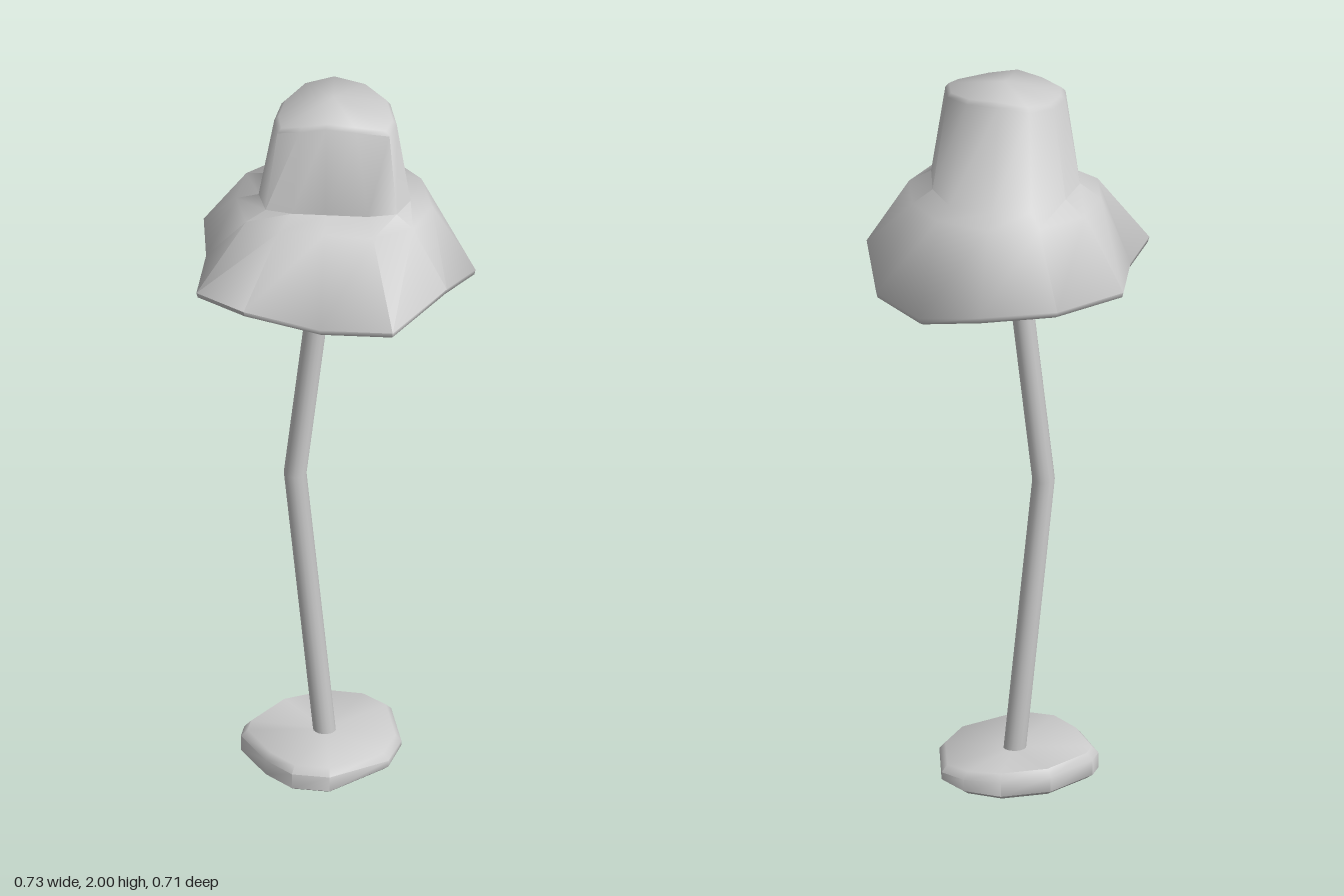
import * as THREE from 'three';
import { toCreasedNormals } from 'three/addons/utils/BufferGeometryUtils.js';

const material = new THREE.MeshStandardMaterial({ color: 0xcccccc });

// Skin a list of equal-length rings of [x, y, z]; faces point outward as rings rise.
function loft(rings, crease) {
  const pos = [];
  const tri = (a, b, c) => {
    const same = (p, q) => p.every((v, i) => Math.abs(v - q[i]) < 1e-6);
    if (!same(a, b) && !same(b, c) && !same(a, c)) pos.push(...a, ...b, ...c);
  };
  for (let k = 0; k < rings.length - 1; k++) {
    const lo = rings[k], hi = rings[k + 1], n = lo.length;
    for (let i = 0; i < n; i++) {
      const j = (i + 1) % n;
      tri(lo[j], lo[i], hi[i]);
      tri(lo[j], hi[i], hi[j]);
    }
  }
  const geometry = new THREE.BufferGeometry();
  geometry.setAttribute('position', new THREE.Float32BufferAttribute(pos, 3));
  return toCreasedNormals(geometry, crease);
}

// Shrink or grow a ring around a centre and shift it in height.
const scaled = (ring, s, dy = 0, cx = 0, cz = 0) =>
  ring.map(([x, y, z]) => [cx + (x - cx) * s, y + dy, cz + (z - cz) * s]);
const level = (outline, y) => outline.map(([x, z]) => [x, y, z]);
const point = (n, x, y, z) => Array.from({ length: n }, () => [x, y, z]);

function add(group, name, geometry) {
  const mesh = new THREE.Mesh(geometry, material);
  mesh.name = name;
  group.add(mesh);
}

// Floppy shade: hollow, wavy brim, shoulder, crown and peaked lid
function shadeGeometry() {
  const brim = [
    [-0.02, 1.475, -0.355], [0.155, 1.435, -0.305], [0.3, 1.435, -0.165], [0.365, 1.5, 0.015],
    [0.305, 1.55, 0.205], [0.175, 1.495, 0.352], [-0.02, 1.47, 0.31], [-0.22, 1.525, 0.325],
    [-0.355, 1.5, 0.195], [-0.345, 1.505, 0.01], [-0.367, 1.505, -0.18], [-0.22, 1.495, -0.32],
  ];
  const shoulder = level([
    [-0.02, -0.26], [0.12, -0.23], [0.21, -0.13], [0.25, 0.01], [0.21, 0.13], [0.11, 0.19],
    [-0.02, 0.18], [-0.14, 0.18], [-0.23, 0.13], [-0.265, 0.01], [-0.25, -0.12], [-0.15, -0.22],
  ], 1.685);
  const neck = level([
    [-0.02, -0.21], [0.1, -0.185], [0.165, -0.09], [0.195, 0.03], [0.165, 0.105], [0.09, 0.124],
    [-0.02, 0.124], [-0.11, 0.124], [-0.18, 0.11], [-0.205, 0.03], [-0.19, -0.08], [-0.12, -0.18],
  ], 1.712);
  const crown = [
    [-0.02, 1.98, -0.128], [0.07, 1.972, -0.107], [0.135, 1.96, -0.045], [0.16, 1.95, 0.045],
    [0.145, 1.942, 0.094], [0.06, 1.96, 0.114], [-0.02, 1.972, 0.124], [-0.09, 1.958, 0.12],
    [-0.15, 1.942, 0.102], [-0.163, 1.945, 0.04], [-0.15, 1.95, -0.04], [-0.1, 1.965, -0.111],
  ];
  return loft([
    point(12, -0.01, 1.95, 0),
    scaled(crown, 0.85, -0.03),
    scaled(neck, 0.85, -0.03),
    scaled(shoulder, 0.85, -0.03),
    scaled(brim, 0.82, -0.005),
    scaled(brim, 0.95, -0.022),
    scaled(brim, 0.99, -0.014),
    brim,
    shoulder,
    neck,
    crown,
    scaled(crown, 0.93, 0.012),
    point(12, -0.01, 2, 0),
  ], 1.0);
}

// Uneven foot slab with softened edges, thinner toward +x
function footGeometry() {
  const outline = level([
    [0.17, 0.02], [0.145, 0.13], [0, 0.245], [-0.1, 0.237], [-0.175, 0.17], [-0.25, 0.05],
    [-0.245, 0], [-0.16, -0.13], [-0.04, -0.19], [0.06, -0.187], [0.13, -0.14],
  ], 0);
  const cx = -0.03, cz = 0.015, n = outline.length;
  const band = (s, y, slope) => scaled(outline, s, y, cx, cz)
    .map(([x, h, z]) => [x, h + slope * Math.max(0, x), z]);
  return loft([
    point(n, cx, 0.004, cz),
    band(0.92, 0.016, 0.1),
    band(1, 0.028, 0.1),
    band(1, 0.07, -0.07),
    band(0.92, 0.088, -0.08),
    point(n, cx, 0.082, cz),
  ], 0.9);
}

// Bent pole: round rings along three stations
function poleGeometry() {
  const sides = 16, radius = 0.03;
  const ring = (x, y, r = radius) => Array.from({ length: sides }, (_, i) => {
    const a = (i / sides) * Math.PI * 2;
    return [x + r * Math.cos(a), y, 0.015 + r * Math.sin(a)];
  });
  return loft([
    ring(-0.025, 0, 0), ring(-0.025, 0),
    ring(-0.11, 0.86),
    ring(-0.012, 1.7), ring(-0.012, 1.7, 0),
  ], 0.7);
}

export function createModel() {
  const lamp = new THREE.Group();
  lamp.name = 'floorLamp';
  add(lamp, 'foot', footGeometry());
  add(lamp, 'pole', poleGeometry());
  add(lamp, 'shade', shadeGeometry());
  return lamp;
}
